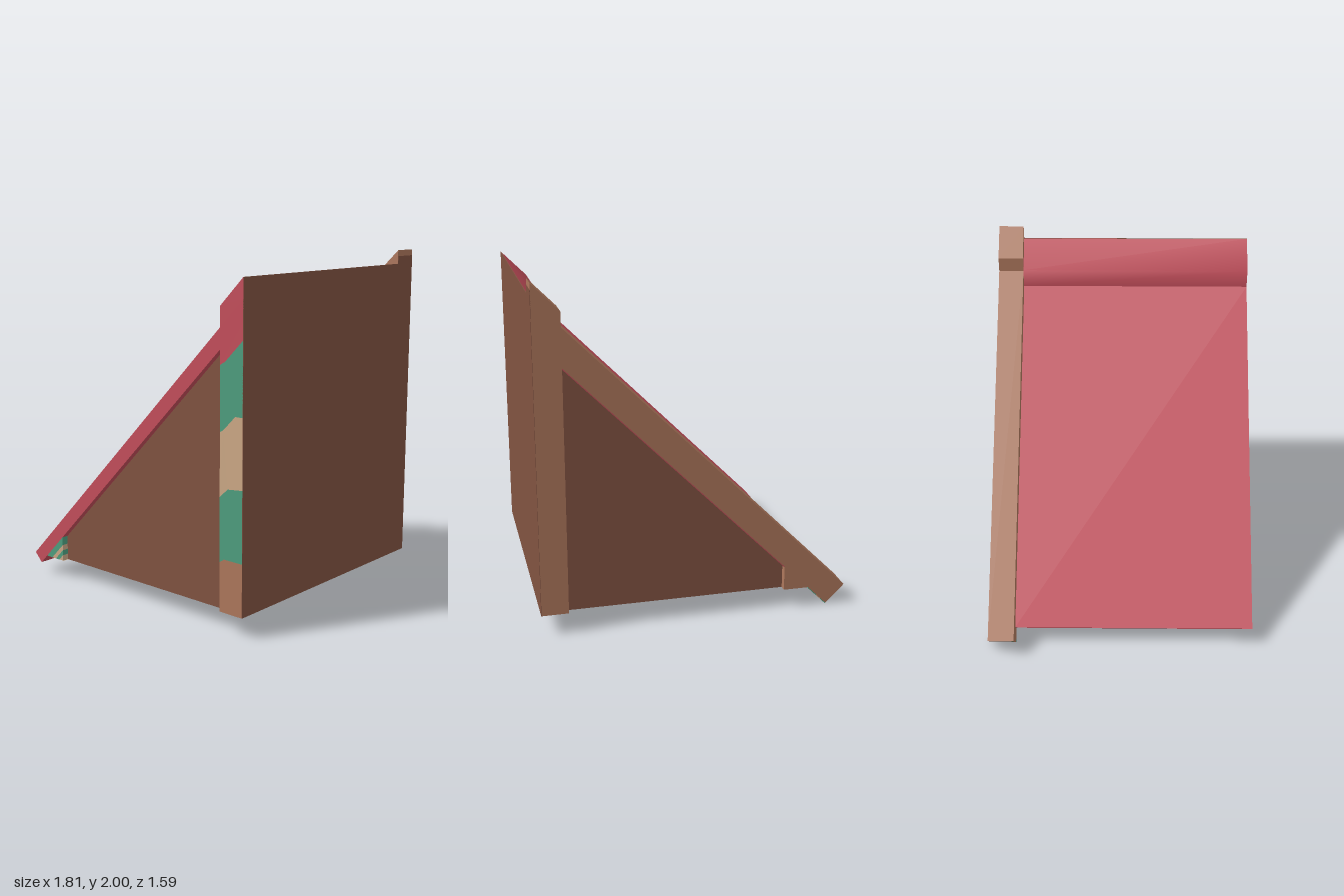
import * as THREE from 'three';

export function createModel() {
  const group = new THREE.Group();
  const mat = (name, color) => {
    const m = new THREE.MeshStandardMaterial({ color });
    m.name = name;
    return m;
  };
  const red = mat('roof red', 0xc44e5b);
  const wood = mat('light wood', 0xad775c);
  const dark = mat('dark wood', 0x815341);
  const green = mat('painted green', 0x4e9e7e);
  const tan = mat('painted tan', 0xcca886);

  const Z = 0.795;        // half depth
  const R = 0.755;        // recessed panel depth
  const BEAM = -0.64;     // front of the gable beam
  const X0 = 0.745, X1 = 0.9, FLOOR = 0.115;
  const low = x => x + 0.795; // underside line of the slope

  const shapeOf = pts => new THREE.Shape(pts.map(p => new THREE.Vector2(...p)));
  function add(name, geometry, material) {
    const mesh = new THREE.Mesh(geometry, material);
    mesh.name = name;
    group.add(mesh);
    return mesh;
  }
  // Side profile in x/y, extruded between two z positions
  function prism(name, pts, z0, z1, material) {
    const g = new THREE.ExtrudeGeometry(shapeOf(pts), { depth: z1 - z0, bevelEnabled: false });
    g.translate(0, 0, z0);
    return add(name, g, material);
  }

  // Triangular core with recessed end panels
  prism('core', [[-0.68, FLOOR], [X1, FLOOR], [X1, low(X1)]], -R, R, dark);

  // Sloping roof slab
  prism('roofSlab', [[-0.79, FLOOR], [-0.735, 0.06], [X1, low(X1)], [X1, 1.81], [X0, 1.655]], BEAM, Z, red);

  // Raised ridge, softly shaded across its fold
  const fold = [[X0, 1.655], [X0, 1.765], [X1, 1.92]];
  const ridge = new THREE.BufferGeometry();
  ridge.setAttribute('position', new THREE.Float32BufferAttribute(
    fold.flatMap(([x, y]) => [x, y, BEAM, x, y, Z]), 3));
  ridge.setIndex([0, 1, 3, 0, 3, 2, 2, 3, 5, 2, 5, 4]);
  ridge.computeVertexNormals();
  add('ridge', ridge, red);
  const ridgeEnd = new THREE.ShapeGeometry(shapeOf([...fold, [X1, 1.81]]));
  ridgeEnd.translate(0, 0, Z);
  add('ridgeEnd', ridgeEnd, red);

  // Gable beam along the back edge
  prism('gableBeam', [[-0.905, 0.11], [-0.795, 0], [X1, low(X1)], [X1, 2],
    [X0, 1.845], [X0, 1.76]], -Z, BEAM, wood);

  // Back frame: post, foot and red lining below the beam
  prism('backPost', [[X0, FLOOR], [X1, FLOOR], [X1, low(X1)], [X0, low(X0)]], -Z, -R, wood);
  prism('backFoot', [[-0.68, FLOOR], [-0.53, FLOOR], [-0.53, low(-0.53)]], -Z, -R, wood);
  prism('backLining', [[-0.53, 0.258], [X0, 1.533], [X0, low(X0)], [-0.53, low(-0.53)]],
    -Z + 0.002, -R, red);

  // Front post painted in stacked bands
  const seams = [
    [[X0, FLOOR], [X1, FLOOR]],
    [[X0, 0.395], [0.775, 0.415], [X1, 0.415]],
    [[X0, 0.755], [0.8, 0.805], [X1, 0.815]],
    [[X0, 1.105], [0.77, 1.12], [0.85, 1.2], [X1, 1.2]],
    [[X0, 1.46], [0.78, 1.48], [X1, 1.6]],
    [[X0, low(X0)], [X1, low(X1)]],
  ];
  [wood, green, tan, green, red].forEach((m, i) =>
    prism('frontPostBand', [...seams[i], ...[...seams[i + 1]].reverse()], R, Z, m));

  // Front foot with stripes parallel to the slope
  const offsets = [0, 0.05, 0.083, 0.115, 0.155];
  [green, tan, green, tan].forEach((m, i) => {
    const a = offsets[i], b = offsets[i + 1];
    prism('frontFootStripe', [[-0.68 + a, FLOOR], [-0.68 + b, FLOOR],
      [-0.53, Math.max(FLOOR, low(-0.53) - b)], [-0.53, low(-0.53) - a]], R, Z, m);
  });

  // Painted stripes under the beam's lower end
  const ends = [0, 0.035, 0.06, 0.115];
  [green, tan, green].forEach((m, i) => {
    const a = ends[i], b = ends[i + 1], d = 0.003;
    prism('beamEndStripe', [[-0.795 + a, a], [-0.795 + a + d, a - d],
      [-0.795 + b + d, b - d], [-0.795 + b, b]], -Z, BEAM, m);
  });

  // Tall wall facing
  const wall = (y0, y1, z0, z1) => {
    const g = new THREE.BoxGeometry(0.004, y1 - y0, z1 - z0);
    g.translate(X1, (y0 + y1) / 2, (z0 + z1) / 2);
    add('wallFacing', g, dark);
  };
  wall(FLOOR, 1.92, BEAM, Z);
  wall(FLOOR, 1.965, -Z, BEAM);

  return group;
}
